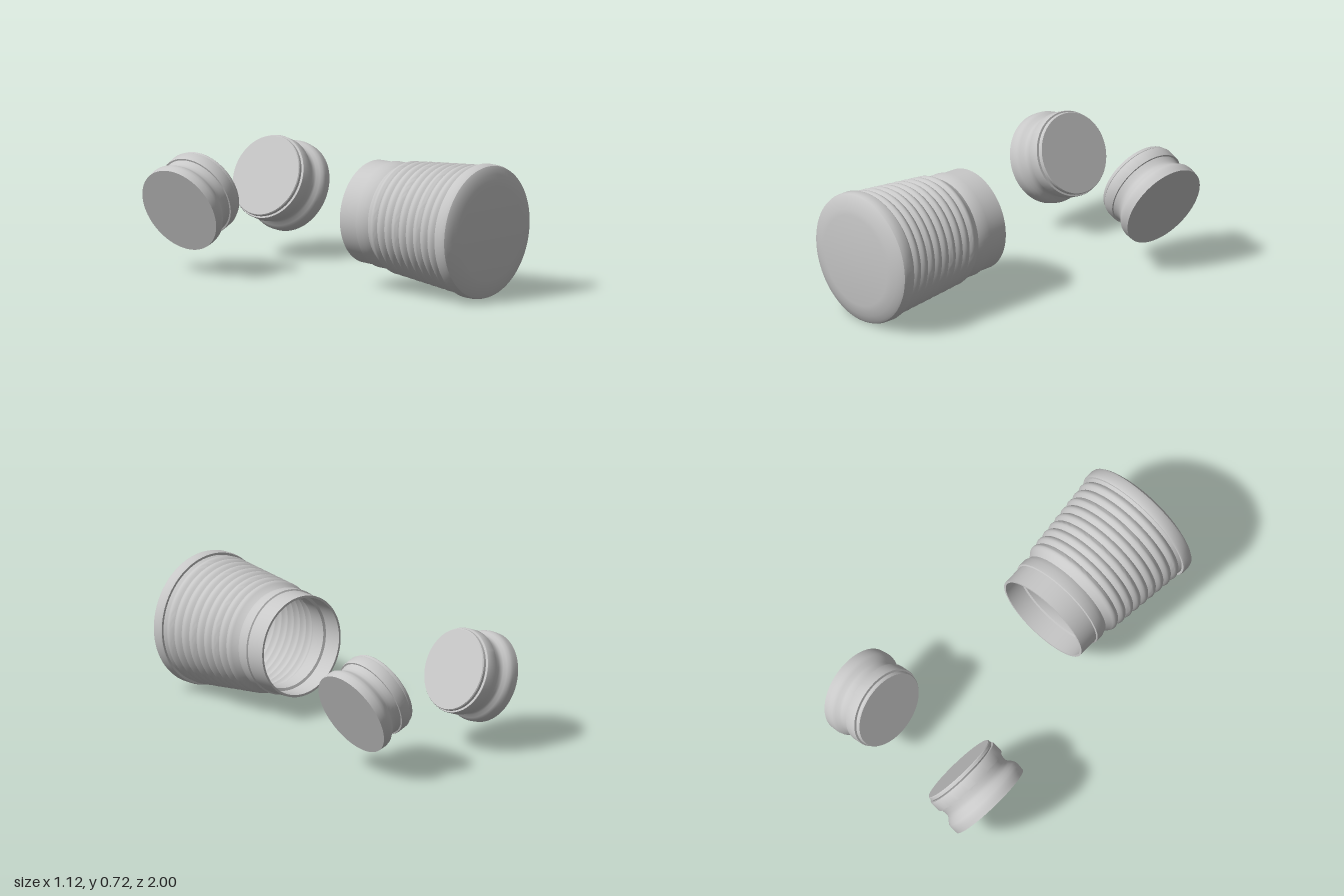
import * as THREE from 'three';
import { toCreasedNormals } from 'three/addons/utils/BufferGeometryUtils.js';

const grey = new THREE.MeshStandardMaterial({ color: 0xc8c8c8 });
grey.name = 'light grey';

// Turned part from [radius, height] pairs
function turned(name, profile) {
  const points = profile.map(([r, h]) => new THREE.Vector2(r, h));
  const geometry = toCreasedNormals(new THREE.LatheGeometry(points, 80), 0.55);
  const mesh = new THREE.Mesh(geometry, grey);
  mesh.name = name;
  return mesh;
}

// Wavy, widening wall of the ribbed sleeve
function ribs(startRadius, endRadius, start, end, count) {
  const steps = count * 6;
  return Array.from({ length: steps + 1 }, (_, i) => {
    const f = i / steps;
    const wave = Math.abs(Math.sin(f * count * Math.PI)) * 0.014 - 0.007;
    return [startRadius + (endRadius - startRadius) * f + wave, start + (end - start) * f];
  });
}

export function createModel() {
  const group = new THREE.Group();

  // Ribbed cup: hollow inside, collar at the open back, domed front
  const cup = turned('ribbedCup', [
    [0, 0.745], [0.31, 0.735],
    ...ribs(0.27, 0.318, 0.215, 0.71, 9).reverse(),
    [0.248, 0.19], [0.248, 0.11], [0.262, 0.105], [0.262, 0],
    [0.274, 0], [0.276, 0.112], [0.284, 0.116], [0.284, 0.16], [0.273, 0.19],
    ...ribs(0.293, 0.341, 0.215, 0.695, 9),
    [0.342, 0.712], [0.354, 0.712], [0.358, 0.72], [0.358, 0.762],
    [0.353, 0.777], [0.34, 0.786], [0.31, 0.798], [0.28, 0.807], [0.25, 0.812], [0, 0.814],
  ]);
  cup.position.set(0, 0.388, 0.18);
  cup.rotation.x = Math.PI / 2 + 0.035;
  group.add(cup);

  // Two grooved plugs leaning towards each other
  for (const side of [1, -1]) {
    const plug = turned(side > 0 ? 'leftPlug' : 'rightPlug', [
      [0, 0], [0.24, 0], [0.242, 0.02], [0.243, 0.04], [0.24, 0.058],
      [0.23, 0.073], [0.217, 0.088], [0.211, 0.1], [0.211, 0.118], [0.214, 0.135], [0.217, 0.15],
      [0.226, 0.15], [0.228, 0.156], [0.228, 0.21], [0.226, 0.214],
      [0.211, 0.214], [0.219, 0.222], [0.218, 0.236], [0.214, 0.241], [0, 0.241],
    ]);
    plug.position.set(side * 0.468, 0.352, -0.755);
    plug.rotation.z = side * Math.atan2(0.923, 0.384);
    group.add(plug);
  }
  return group;
}
